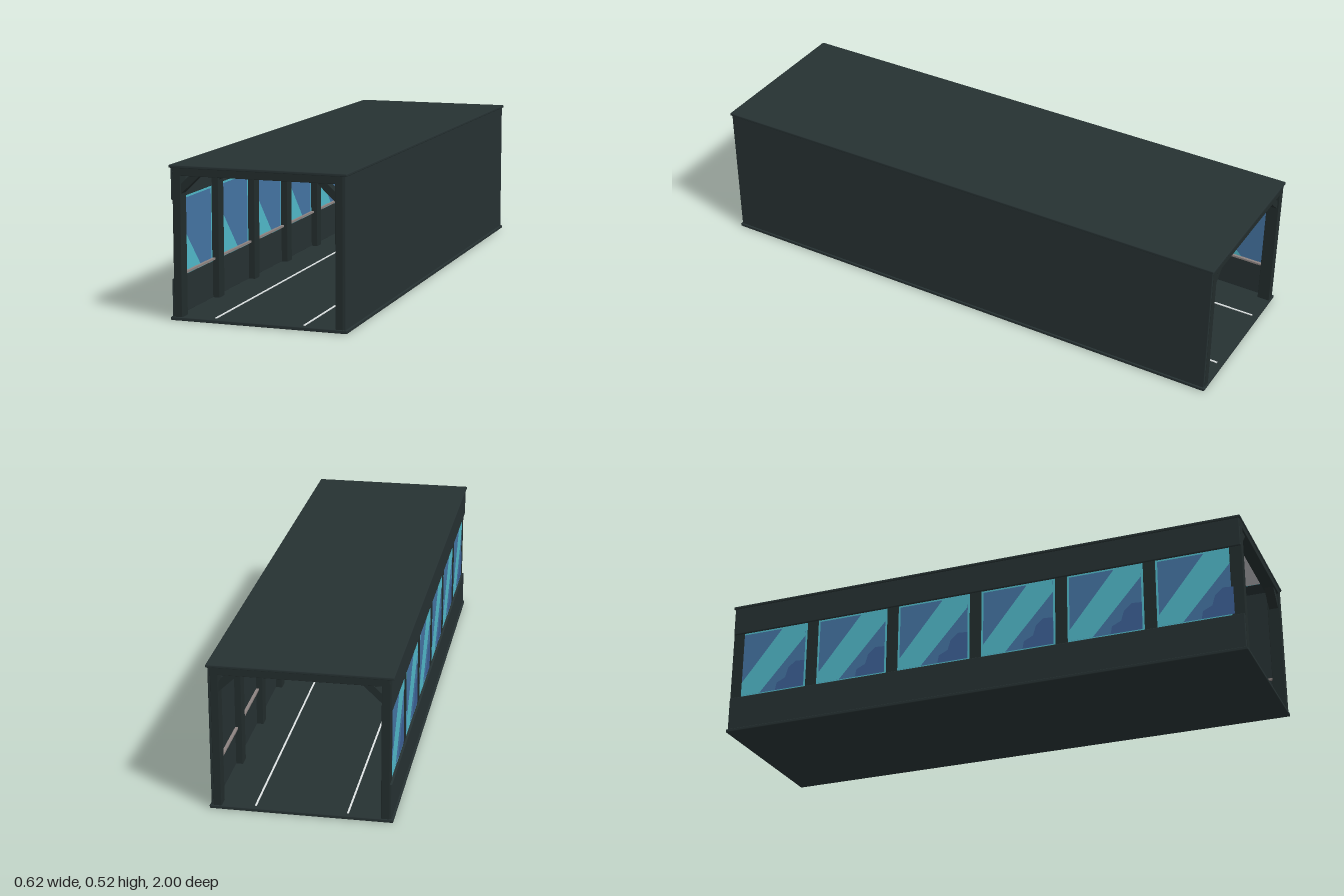
import * as THREE from 'three';
import { RoundedBoxGeometry } from 'three/addons/geometries/RoundedBoxGeometry.js';

const mat = (name, color, side = THREE.FrontSide) => {
  const m = new THREE.MeshStandardMaterial({ color, side });
  m.name = name;
  return m;
};

export function createModel() {
  const model = new THREE.Group();
  model.name = 'corridor';
  const hull = mat('dark hull', 0x263132);
  const frameMat = mat('frame', 0x222c2c);
  const blue = mat('window blue', 0x4474a2);
  const cyan = mat('window cyan', 0x50b8c8);
  const indigo = mat('window indigo', 0x3c5f94);
  const lamp = mat('ceiling lamp', 0xb8b8bc);
  const line = mat('floor line', 0xdde2e2);
  const rail = mat('hand rail', 0x8c8280);

  const add = (parent, name, geometry, material, x = 0, y = 0, z = 0) => {
    const mesh = new THREE.Mesh(geometry, material);
    mesh.name = name;
    mesh.position.set(x, y, z);
    parent.add(mesh);
    return mesh;
  };
  // box given by its limits on each axis
  const box = (parent, name, material, [x0, x1], [y0, y1], [z0, z1], bevel = 0) => {
    const s = [x1 - x0, y1 - y0, z1 - z0];
    const g = bevel ? new RoundedBoxGeometry(...s, 1, bevel) : new THREE.BoxGeometry(...s);
    return add(parent, name, g, material, (x0 + x1) / 2, (y0 + y1) / 2, (z0 + z1) / 2);
  };

  // shell
  box(model, 'floor', hull, [-0.31, 0.31], [0, 0.012], [-1, 1], 0.003);
  box(model, 'roof', hull, [-0.31, 0.31], [0.512, 0.522], [-1, 1], 0.003);
  box(model, 'solidWall', hull, [0.293, 0.304], [0.01, 0.514], [-0.995, 0.995], 0.002);
  box(model, 'lowerWindowWall', hull, [-0.305, -0.293], [0.01, 0.14], [-0.995, 0.995], 0.003);
  box(model, 'upperWindowWall', hull, [-0.305, -0.293], [0.405, 0.514], [-0.995, 0.995], 0.003);

  // floor lines and hand rails
  for (const s of [-1, 1]) {
    box(model, 'floorLine', line, [s * 0.156 - 0.003, s * 0.156 + 0.003], [0.011, 0.015], [-0.98, 0.98]);
    box(model, 'handRail', rail, [s * 0.288 - 0.005, s * 0.288 + 0.005], [0.146, 0.153], [-0.985, 0.985]);
  }

  // portal frames with diagonal braces
  const brace = new THREE.Shape([
    [0.272, 0.424], [0.272, 0.457], [0.238, 0.489], [0.203, 0.489],
  ].map(([x, y]) => new THREE.Vector2(x, y)));
  const depth = 0.046;
  const braceGeo = new THREE.ExtrudeGeometry(brace, { depth: depth - 0.012, bevelEnabled: false });
  braceGeo.translate(0, 0, -(depth - 0.012) / 2);
  for (let i = -3; i <= 3; i++) {
    const frame = new THREE.Group();
    frame.name = 'portalFrame';
    frame.position.z = Math.abs(i) === 3 ? Math.sign(i) * 0.974 : i * 0.33;
    const z = [-depth / 2, depth / 2];
    box(frame, 'beam', frameMat, [-0.296, 0.296], [0.487, 0.514], z, 0.002);
    for (const s of [-1, 1]) {
      const x = s < 0 ? [-0.298, -0.269] : [0.269, 0.296];
      box(frame, 'post', frameMat, x, [0.01, 0.5], z, 0.002);
      const b = add(frame, 'brace', braceGeo, frameMat);
      if (s < 0) b.rotation.y = Math.PI;
    }
    model.add(frame);
  }

  // window pictures: flat shapes in 0..1 coordinates of the pane
  const W = 0.286, H = 0.268;
  const flat = (pts) => {
    const shape = new THREE.Shape(pts.map(([u, v]) => new THREE.Vector2((u - 0.5) * W, (v - 0.5) * H)));
    return new THREE.ShapeGeometry(shape);
  };
  const field = flat([[0.03, 0.03], [0.97, 0.03], [0.97, 0.97], [0.03, 0.97]]);
  const stripe = flat([[0.03, 0.03], [0.33, 0.03], [0.97, 0.8], [0.97, 0.97], [0.62, 0.97], [0.03, 0.19]]);
  const patch = flat([[0.56, 0.03], [0.97, 0.03], [0.97, 0.42], [0.84, 0.43], [0.74, 0.34], [0.7, 0.2], [0.58, 0.14]]);
  const wedge = flat([[0.03, 0.03], [0.65, 0.03], [0.03, 0.75]]);

  // windows and ceiling lamps in every bay
  for (let i = 0; i < 6; i++) {
    const z = (i - 2.5) * 0.33;
    const win = new THREE.Group();
    win.name = 'window';
    win.position.set(-0.2955, 0.2725, z);
    add(win, 'pane', new THREE.BoxGeometry(0.002, H, W), cyan);
    const outside = new THREE.Group();
    outside.name = 'outerFace';
    outside.rotation.y = -Math.PI / 2;
    add(outside, 'sky', field, blue, 0, 0, 0.0015);
    add(outside, 'stripe', stripe, cyan, 0, 0, 0.002);
    add(outside, 'patch', patch, indigo, 0, 0, 0.0025);
    const inside = new THREE.Group();
    inside.name = 'innerFace';
    inside.rotation.y = Math.PI / 2;
    add(inside, 'sky', field, blue, 0, 0, 0.0015);
    add(inside, 'wedge', wedge, cyan, 0, 0, 0.002);
    win.add(outside, inside);
    model.add(win);

    box(model, 'lampTrim', cyan, [-0.208, 0.208], [0.507, 0.513], [z - 0.128, z + 0.128]);
    box(model, 'lampPanel', lamp, [-0.2, 0.2], [0.504, 0.51], [z - 0.12, z + 0.12]);
  }
  return model;
}
